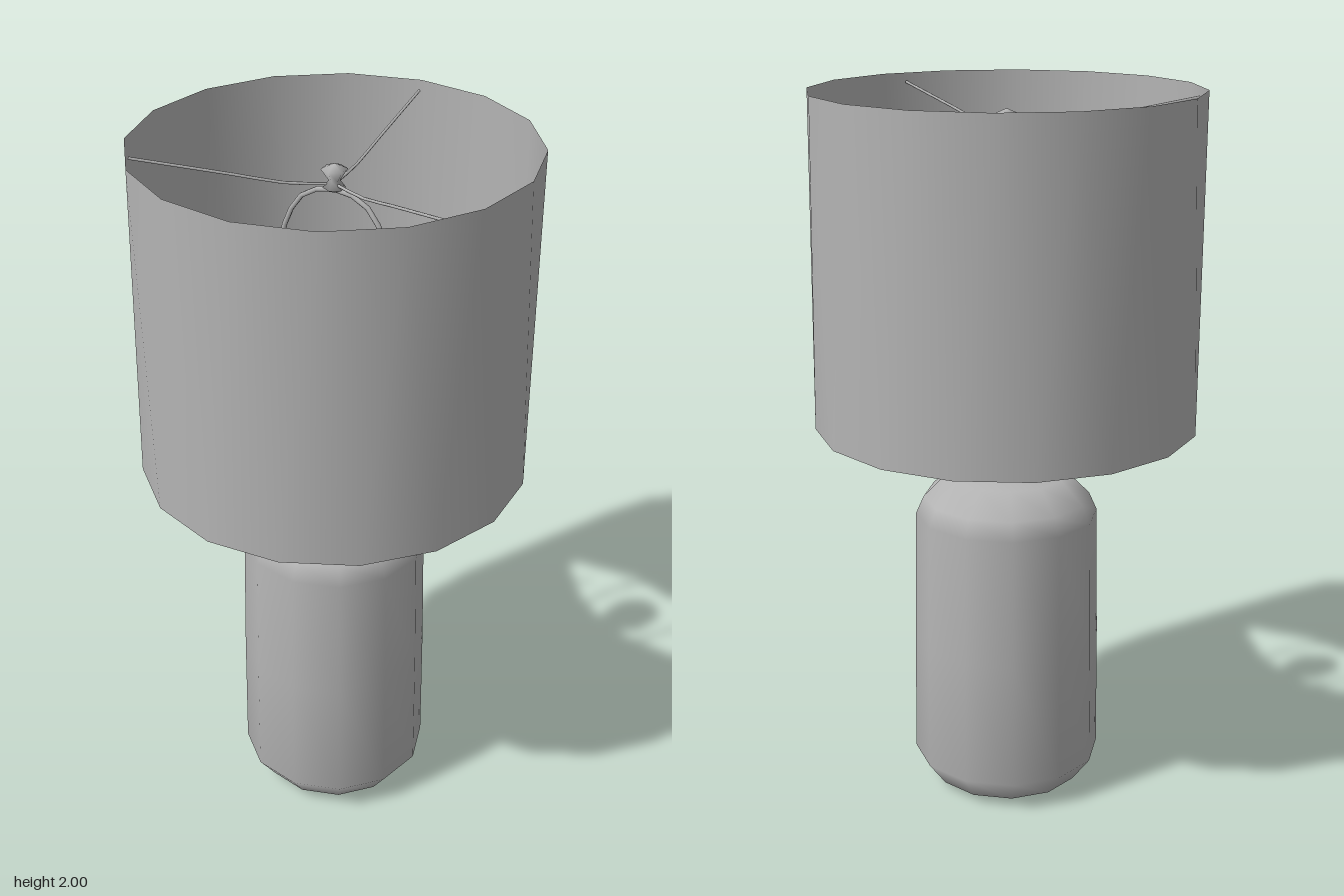
import * as THREE from 'three';

export function createModel() {
  const lamp = new THREE.Group();
  const grey = new THREE.MeshStandardMaterial({ color: 0xb4b4b4, side: THREE.DoubleSide });
  grey.name = 'plain grey';

  const add = (name, geometry, parent = lamp) => {
    const mesh = new THREE.Mesh(geometry, grey);
    mesh.name = name;
    parent.add(mesh);
    return mesh;
  };
  const lathe = (points, sides) =>
    new THREE.LatheGeometry(points.map(([r, y]) => new THREE.Vector2(r, y)), sides);
  const wire = (points, steps, radius) =>
    new THREE.TubeGeometry(new THREE.CatmullRomCurve3(
      points.map((p) => new THREE.Vector3(...p)), false, 'centripetal'), steps, radius, 6);

  // Chunky bottle-shaped body with bevelled foot and shoulder
  add('base', lathe([
    [0, 0], [0.19, 0.01], [0.215, 0.02], [0.267, 0.09], [0.264, 0.45],
    [0.257, 0.82], [0.235, 0.87], [0.17, 0.935], [0, 0.938],
  ], 12));

  // Neck, socket and bulb
  const stem = add('stem', new THREE.CylinderGeometry(0.035, 0.045, 0.24, 6));
  stem.position.y = 1.075;
  add('socket', lathe([[0, 1.18], [0.03, 1.18], [0.045, 1.26], [0.045, 1.34], [0, 1.34]], 8));
  add('bulb', lathe([
    [0.035, 1.34], [0.05, 1.4], [0.08, 1.48], [0.075, 1.53], [0.045, 1.57], [0, 1.585],
  ], 8));

  // Wire harp with a saddle and a ferrule on each foot
  const harp = new THREE.Group();
  harp.name = 'harp';
  lamp.add(harp);
  add('harpLoop', wire([
    [-0.12, 1.2, 0], [-0.14, 1.35, 0], [-0.165, 1.55, 0], [-0.15, 1.74, 0], [-0.09, 1.85, 0],
    [0, 1.88, 0],
    [0.09, 1.85, 0], [0.15, 1.74, 0], [0.165, 1.55, 0], [0.14, 1.35, 0], [0.12, 1.2, 0],
  ], 30, 0.007), harp);
  add('harpSaddle', wire([
    [-0.12, 1.22, 0], [-0.09, 1.17, 0], [0, 1.165, 0], [0.09, 1.17, 0], [0.12, 1.22, 0],
  ], 12, 0.007), harp);
  for (const side of [-1, 1]) {
    const ferrule = add('harpFerrule', new THREE.CylinderGeometry(0.013, 0.013, 0.09, 6), harp);
    ferrule.position.set(side * 0.12, 1.22, 0);
  }

  // Finial on top of the harp
  add('finial', lathe([[0, 1.87], [0.03, 1.885], [0.015, 1.905], [0.035, 1.935], [0, 1.95]], 6));

  // Three spider arms reaching up to the shade rim
  for (let i = 0; i < 3; i++) {
    const arm = add('spiderArm', wire([
      [0, 1.895, 0], [0, 1.9, -0.12], [0, 1.925, -0.25], [0, 1.975, -0.515],
    ], 8, 0.004));
    arm.rotation.y = i * Math.PI * 2 / 3;
  }

  // Open drum shade: the lower ring is turned half a step from the upper one
  const sides = 16;
  const drum = new THREE.CylinderGeometry(0.531, 0.531, 0.915, sides, 1, true);
  const axis = new THREE.Vector3(0, 1, 0);
  const v = new THREE.Vector3();
  const { position, normal } = drum.attributes;
  for (let i = 0; i < position.count; i++) {
    if (position.getY(i) > 0) continue;
    for (const attribute of [position, normal]) {
      v.fromBufferAttribute(attribute, i).applyAxisAngle(axis, Math.PI / sides);
      attribute.setXYZ(i, v.x, v.y, v.z);
    }
  }
  add('shade', drum).position.y = 1.5425;

  return lamp;
}
